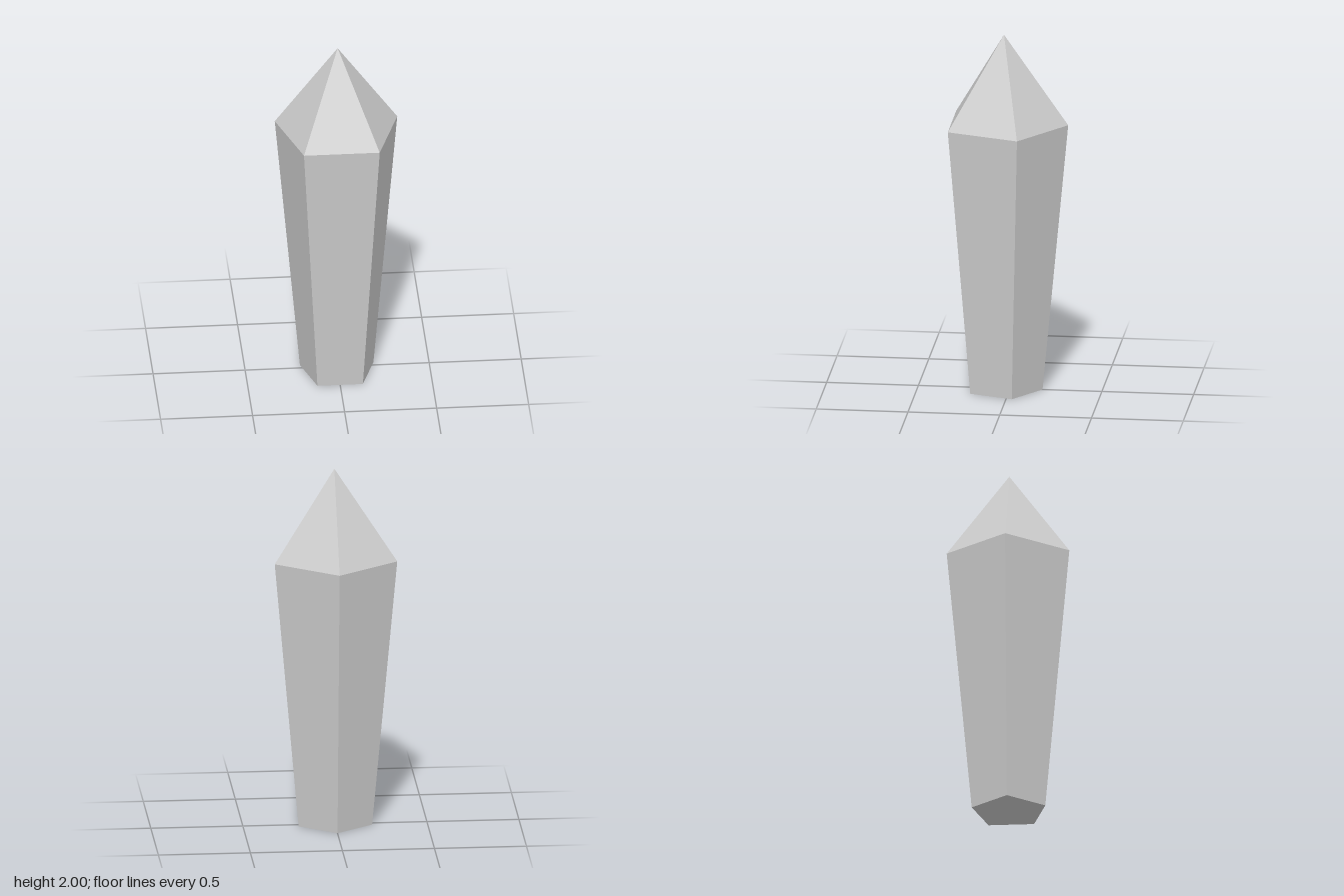
import * as THREE from 'three';

export function createModel() {
  const group = new THREE.Group();
  group.name = 'crystal';
  const material = new THREE.MeshStandardMaterial({ color: 0xcccccc, flatShading: true });
  const sides = 5, radius = 0.35, baseRadius = 0.21, shoulder = 1.5, height = 2;

  // Five-sided section with one corner facing the back, centred by its bounds
  const zOffset = radius * (1 - Math.cos(Math.PI / sides)) / 2;
  const addPart = (name, top, bottom, y0, y1, open) => {
    const geometry = new THREE.CylinderGeometry(top, bottom, y1 - y0, sides, 1, open, Math.PI);
    const mesh = new THREE.Mesh(geometry, material);
    mesh.name = name;
    mesh.position.set(0, (y0 + y1) / 2, zOffset);
    group.add(mesh);
  };

  // Tapered shaft, narrower at the base
  addPart('shaft', radius, baseRadius, 0, shoulder, false);
  // Pointed tip
  addPart('tip', 0, radius, shoulder, height, true);

  return group;
}
